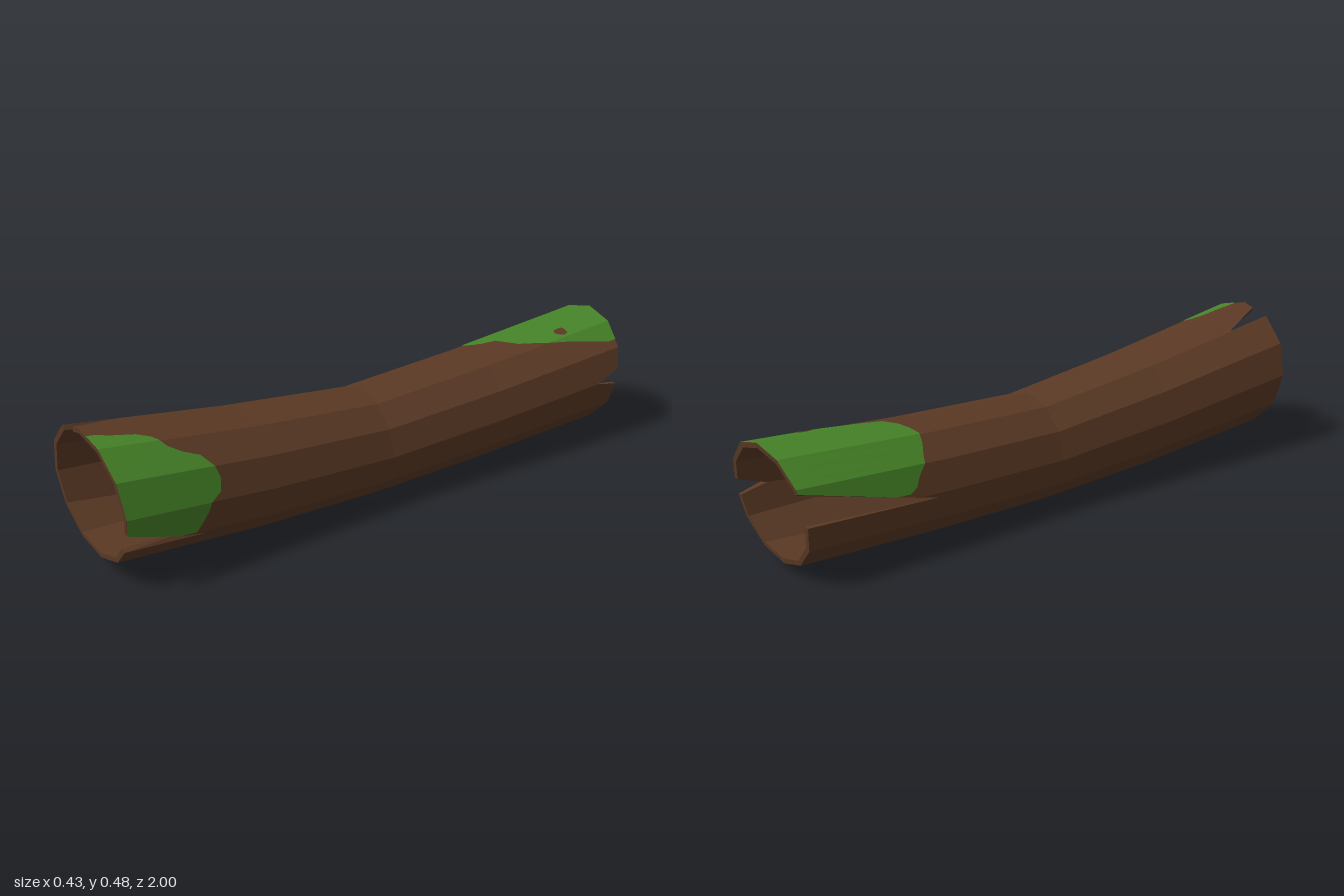
import * as THREE from 'three';

// Rings along the log: [s, centreY, centreZ, outer radius, lean of the ring]
const RINGS = [
  [-1, 0.228, -0.965, 0.195, -0.18],
  [-0.45, 0.197, -0.45, 0.185, -0.05],
  [0, 0.182, 0, 0.178, 0],
  [0.45, 0.215, 0.45, 0.195, 0.04],
  [1, 0.272, 0.977, 0.2145, 0.105],
];
const INNER_RINGS = [RINGS[0], RINGS[2], RINGS[4]];
const WALL = 0.016;

// Cracks at both ends as [angle0, s0, angle1, s1], in degrees from +x
const FRONT_CRACKS = [[-37, 0.7, -16, 1], [101, 1, 119, 0.82]];
const BACK_CRACKS = [[-8, -1, 0, -0.9], [0, -0.9, 9, -1], [154, -1, 185, -0.5]];

// Moss outlines: [angle, s of the ragged edge]
const FRONT_MOSS = [[-29, 0.75], [-20, 0.73], [-10, 0.71], [0, 0.7], [8, 0.66], [20, 0.65],
  [30, 0.66], [42, 0.69], [47, 0.74], [54, 0.78], [66, 0.81], [72, 0.85], [75, 0.93], [78, 0.97]];
const BACK_MOSS = [[39, -0.97], [43, -0.92], [48, -0.87], [54, -0.8], [60, -0.72], [66, -0.68], [74, -0.62],
  [82, -0.59], [90, -0.56], [98, -0.52], [107, -0.5], [118, -0.49], [130, -0.5], [142, -0.52],
  [150, -0.53], [160, -0.56], [170, -0.58], [175, -0.61]];

const mix = THREE.MathUtils.lerp;

function ringVertex(ring, i, offset, inner) {
  const [s, cy, cz, radius, lean] = ring;
  let deg = i * 30, r = radius + offset;
  if (inner) {
    r -= WALL;
    // The bore narrows to six sides at the middle
    if (s === 0) { deg += i % 2 ? 15 : -15; r = 0.157; }
  }
  const a = THREE.MathUtils.degToRad(deg), h = r * Math.sin(a);
  return new THREE.Vector3(r * Math.cos(a), cy + h, cz + h * lean);
}

// Point on the twelve-sided wall
function point(deg, s, inner = false, offset = 0) {
  const rings = inner ? INNER_RINGS : RINGS;
  let j = 0;
  while (j < rings.length - 2 && s > rings[j + 1][0]) j++;
  const t = (s - rings[j][0]) / (rings[j + 1][0] - rings[j][0]);
  const i = Math.floor(deg / 30), f = deg / 30 - i;
  const along = (k) => ringVertex(rings[j], k, offset, inner).lerp(ringVertex(rings[j + 1], k, offset, inner), t);
  return along(i).lerp(along(i + 1), f);
}

// End of the log at both sides of one narrow column
function limits(cracks, end, a0, a1) {
  const mid = (a0 + a1) / 2;
  const c = cracks.find((k) => mid > k[0] && mid < k[2]);
  const at = (a) => (c ? mix(c[1], c[3], (a - c[0]) / (c[2] - c[0])) : end);
  return [at(a0), at(a1)];
}

// Column angles: wall corners, crack edges and any extras
function columns(from, to, extra = []) {
  const set = new Set([from, to, ...extra]);
  for (let a = -60; a <= 300; a += 30) set.add(a);
  for (const c of [...FRONT_CRACKS, ...BACK_CRACKS]) set.add(c[0]).add(c[2]);
  return [...set].filter((a) => a >= from && a <= to).sort((x, y) => x - y);
}

const quad = (out, a, b, c, d) => out.push(a, b, c, a, c, d);

function makeMesh(name, points, color, side = THREE.FrontSide) {
  const geometry = new THREE.BufferGeometry().setFromPoints(points);
  geometry.computeVertexNormals();
  const material = new THREE.MeshStandardMaterial({ color, flatShading: true, side });
  const mesh = new THREE.Mesh(geometry, material);
  mesh.name = name;
  return mesh;
}

function buildWall() {
  const bark = [], bore = [], rim = [];
  const angles = columns(-60, 300);
  let lastFront = 1, lastBack = -1;
  for (let k = 0; k < angles.length - 1; k++) {
    const a0 = angles[k], a1 = angles[k + 1];
    const [f0, f1] = limits(FRONT_CRACKS, 1, a0, a1);
    const [b0, b1] = limits(BACK_CRACKS, -1, a0, a1);
    const rows0 = [b0, -0.45, 0, 0.45, f0], rows1 = [b1, -0.45, 0, 0.45, f1];
    for (let r = 0; r < 4; r++) {
      quad(bark, point(a0, rows0[r]), point(a1, rows1[r]), point(a1, rows1[r + 1]), point(a0, rows0[r + 1]));
      quad(bore, point(a0, rows0[r + 1], true), point(a1, rows1[r + 1], true),
        point(a1, rows1[r], true), point(a0, rows0[r], true));
    }
    // End grain
    quad(rim, point(a0, f0), point(a1, f1), point(a1, f1, true), point(a0, f0, true));
    quad(rim, point(a0, b0, true), point(a1, b1, true), point(a1, b1), point(a0, b0));
    // Straight sides of the cracks
    for (const [p, q] of [[lastFront, f0], [lastBack, b0]]) {
      if (Math.abs(p - q) > 0.01) quad(rim, point(a0, p), point(a0, q), point(a0, q, true), point(a0, p, true));
    }
    lastFront = f1;
    lastBack = b1;
  }
  return { bark, bore, rim };
}

// Thin moss skin from the ragged edge to the end of the log
function buildMoss(outline, cracks, end) {
  const out = [], lift = 0.002;
  const first = outline[0][0], last = outline[outline.length - 1][0];
  const edge = (a) => {
    const n = Math.max(1, outline.findIndex((p) => p[0] >= a));
    const [p, q] = [outline[n - 1], outline[n]];
    return mix(p[1], q[1], (a - p[0]) / (q[0] - p[0]));
  };
  const angles = columns(first, last, outline.map((p) => p[0]));
  for (let k = 0; k < angles.length - 1; k++) {
    const a0 = angles[k], a1 = angles[k + 1];
    const [e0, e1] = limits(cracks, end, a0, a1);
    const [m0, m1] = [edge(a0), edge(a1)];
    const c = [[a0, m0], [a1, m1], [a1, e1], [a0, e0]].map(([a, s]) => point(a, s, false, lift));
    if (end < 0) c.reverse();
    quad(out, ...c);
  }
  return out;
}

// Bare patch of bark showing through the moss
function buildBareSpot() {
  const out = [], n = 8;
  const at = (k) => {
    const a = (k / n) * Math.PI * 2, r = k % 3 ? 1 : 0.8;
    return point(69 + 6.5 * r * Math.cos(a), -0.8 + 0.027 * r * Math.sin(a), false, 0.004);
  };
  for (let k = 0; k < n; k++) out.push(point(69, -0.8, false, 0.004), at(k), at((k + 1) % n));
  return out;
}

export function createModel() {
  const group = new THREE.Group();
  group.name = 'hollowLog';
  const brown = 0x5c3a25, green = 0x478528;
  const { bark, bore, rim } = buildWall();
  group.add(
    makeMesh('bark', bark, brown),
    makeMesh('bore', bore, brown),
    makeMesh('endGrain', rim, brown, THREE.DoubleSide),
    makeMesh('frontMoss', buildMoss(FRONT_MOSS, FRONT_CRACKS, 1), green, THREE.DoubleSide),
    makeMesh('backMoss', buildMoss(BACK_MOSS, BACK_CRACKS, -1), green, THREE.DoubleSide),
    makeMesh('bareSpot', buildBareSpot(), brown, THREE.DoubleSide),
  );
  return group;
}
